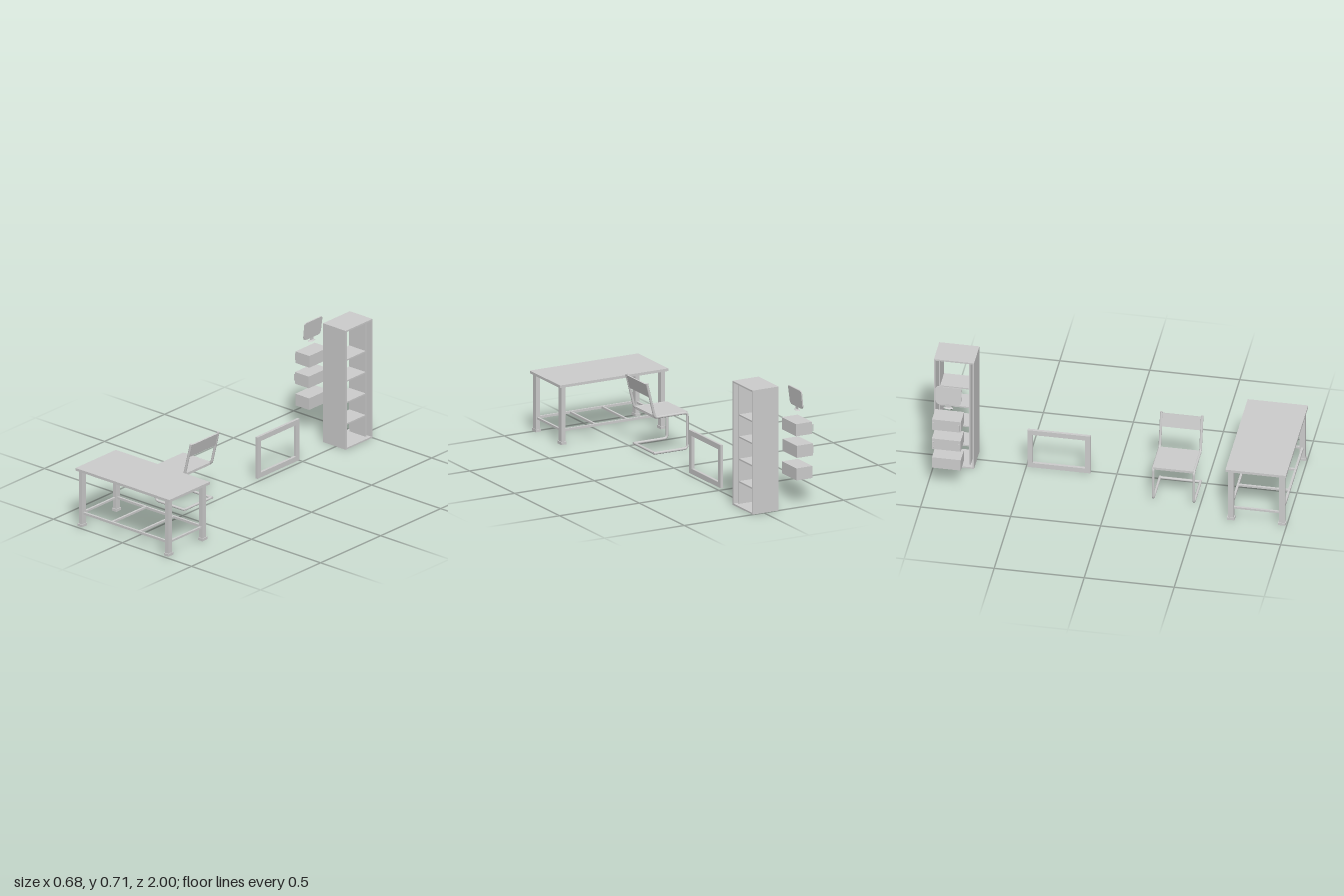
import * as THREE from 'three';

const mat = new THREE.MeshStandardMaterial({ color: 0xcccccc, side: THREE.DoubleSide });

function add(parent, name, geo) {
  const mesh = new THREE.Mesh(geo, mat);
  mesh.name = name;
  parent.add(mesh);
  return mesh;
}

// Box given by its lower and upper bounds on each axis
function box(parent, name, [x0, x1], [y0, y1], [z0, z1]) {
  const mesh = add(parent, name, new THREE.BoxGeometry(x1 - x0, y1 - y0, z1 - z0));
  mesh.position.set((x0 + x1) / 2, (y0 + y1) / 2, (z0 + z1) / 2);
  return mesh;
}

// Straight capped rod between two points
function rod(parent, name, a, b, r, sides = 16) {
  const dir = b.clone().sub(a);
  const mesh = add(parent, name, new THREE.CylinderGeometry(r, r, dir.length(), sides));
  mesh.position.copy(a).addScaledVector(dir, 0.5);
  mesh.quaternion.setFromUnitVectors(new THREE.Vector3(0, 1, 0), dir.normalize());
  return mesh;
}

function group(parent, name) {
  const g = new THREE.Group();
  g.name = name;
  parent.add(g);
  return g;
}

const V = (x, y, z) => new THREE.Vector3(x, y, z);

function buildTable(root) {
  const g = group(root, 'table');
  box(g, 'tableTop', [-0.34, 0.34], [0.334, 0.349], [0.664, 1]);
  const zs = [0.691, 0.975];
  for (const x of [-0.312, 0.312]) {
    for (const z of zs) {
      box(g, 'tableLeg', [x - 0.012, x + 0.012], [0.007, 0.334], [z - 0.016, z + 0.016]);
      box(g, 'tableFoot', [x - 0.016, x + 0.016], [0.007, 0.022], [z - 0.021, z + 0.021]);
    }
  }
  // Lower stretchers and the bars across them
  for (const z of zs) box(g, 'longStretcher', [-0.3, 0.3], [0.078, 0.091], [z - 0.006, z + 0.006]);
  for (const x of [-0.312, -0.1, 0.1, 0.312])
    box(g, 'crossStretcher', [x - 0.006, x + 0.006], [0.079, 0.09], zs);
}

function buildChair(root) {
  const g = group(root, 'chair');
  const r = 0.0075, bend = 0.02, zs = [0.241, 0.467];
  const profile = [[-0.009, 0.02], [-0.2205, 0.02], [-0.2205, 0.223], [-0.016, 0.223], [0.034, 0.424]];
  for (const z of zs) {
    // Cantilever side tube with rounded bends
    const pts = profile.map(([x, y]) => V(x, y, z));
    const path = new THREE.CurvePath();
    let from = pts[0];
    for (let i = 1; i < pts.length - 1; i++) {
      const p = pts[i];
      const a = p.clone().add(pts[i - 1].clone().sub(p).setLength(bend));
      const b = p.clone().add(pts[i + 1].clone().sub(p).setLength(bend));
      path.add(new THREE.LineCurve3(from, a));
      path.add(new THREE.QuadraticBezierCurve3(a, p, b));
      from = b;
    }
    path.add(new THREE.LineCurve3(from, pts[4]));
    add(g, 'sideTube', new THREE.TubeGeometry(path, 160, r, 16, false));
    // Closed tube ends
    for (const [end, next] of [[pts[0], pts[1]], [pts[4], pts[3]]])
      rod(g, 'tubeEnd', end, end.clone().add(next.clone().sub(end).setLength(0.006)), r);
  }
  rod(g, 'baseCrossbar', V(-0.0165, 0.02, zs[0]), V(-0.0165, 0.02, zs[1]), r);
  box(g, 'seat', [-0.222, -0.02], [0.215, 0.229], zs);
  const back = box(g, 'backrest', [0.0195, 0.0275], [0.341, 0.419], zs);
  back.rotation.z = -Math.atan2(0.05, 0.201);
}

function buildFrame(root) {
  // Upright rectangular frame facing along x
  const g = group(root, 'pictureFrame');
  const w = 0.35, h = 0.245, border = 0.029;
  const outer = new THREE.Shape([[-1, -1], [1, -1], [1, 1], [-1, 1]]
    .map(([x, y]) => new THREE.Vector2(x * w / 2, y * h / 2)));
  outer.holes.push(new THREE.Path([[-1, -1], [-1, 1], [1, 1], [1, -1]]
    .map(([x, y]) => new THREE.Vector2(x * (w / 2 - border), y * (h / 2 - border)))));
  const mesh = add(g, 'frameBorder', new THREE.ExtrudeGeometry(outer, { depth: 0.016, bevelEnabled: false }));
  mesh.rotation.y = Math.PI / 2;
  mesh.position.set(-0.031, 0.13, -0.317);
}

function buildCabinet(root) {
  const g = group(root, 'cabinet');
  const x = [-0.093, 0.071], inner = [-0.07, 0.048], y = [0, 0.706];
  box(g, 'cabinetSide', x, y, [-0.786, -0.777]);
  box(g, 'cabinetSide', x, y, [-1, -0.991]);
  box(g, 'cabinetTop', x, [0.697, 0.706], [-0.991, -0.786]);
  box(g, 'cabinetBottom', x, [0, 0.009], [-0.991, -0.786]);
  // Inset upright panels carrying the shelves
  for (const z of [-0.804, -0.973])
    box(g, 'innerPanel', inner, [0.009, 0.697], [z - 0.004, z + 0.004]);
  for (const sy of [0.135, 0.263, 0.39, 0.515])
    box(g, 'shelf', inner, [sy - 0.004, sy + 0.004], [-0.969, -0.808]);
}

function buildDrawers(root) {
  const g = group(root, 'drawers');
  [[0.396, -0.32, true], [0.272, -0.325, true], [0.144, -0.322, false]].forEach(([y, x, handles]) => {
    box(g, 'drawer', [x, x + 0.1], [y, y + 0.069], [-0.969, -0.809]);
    if (!handles) return;
    // Thin bracket handles near both ends
    for (const z of [-0.962, -0.818]) {
      const zr = [z - 0.002, z + 0.002];
      box(g, 'handleGrip', [x - 0.011, x - 0.008], [y + 0.014, y + 0.052], zr);
      for (const hy of [y + 0.014, y + 0.049])
        box(g, 'handleArm', [x - 0.011, x], [hy, hy + 0.003], zr);
    }
  });
}

function buildMonitor(root) {
  const g = group(root, 'monitor');
  const z = -0.887;
  // Rounded screen panel, slightly narrower at the bottom
  const s = new THREE.Shape();
  const w = 0.072, h = 0.107, c = 0.014;
  s.moveTo(-w + 0.02, 0);
  s.lineTo(w - 0.02, 0);
  s.quadraticCurveTo(w - 0.005, 0.002, w - 0.002, 0.02);
  s.lineTo(w, h - c);
  s.quadraticCurveTo(w, h, w - c, h);
  s.lineTo(-w + c, h);
  s.quadraticCurveTo(-w, h, -w, h - c);
  s.lineTo(-w + 0.002, 0.02);
  s.quadraticCurveTo(-w + 0.005, 0.002, -w + 0.02, 0);
  const geo = new THREE.ExtrudeGeometry(s, { depth: 0.007, bevelEnabled: false, curveSegments: 6 });
  geo.translate(0, 0, -0.0035).rotateY(Math.PI / 2).rotateZ(-0.115);
  add(g, 'screen', geo).position.set(-0.2705, 0.539, z);
  box(g, 'stem', [-0.274, -0.27], [0.522, 0.545], [z - 0.012, z + 0.012]);
  // Low flared foot
  const foot = add(g, 'monitorFoot', new THREE.CylinderGeometry(0.008, 0.0135, 0.005, 24));
  foot.scale.z = 2;
  foot.position.set(-0.2715, 0.5215, z);
}

export function createModel() {
  const root = new THREE.Group();
  root.name = 'officeFurniture';
  buildTable(root);
  buildChair(root);
  buildFrame(root);
  buildCabinet(root);
  buildDrawers(root);
  buildMonitor(root);
  return root;
}
